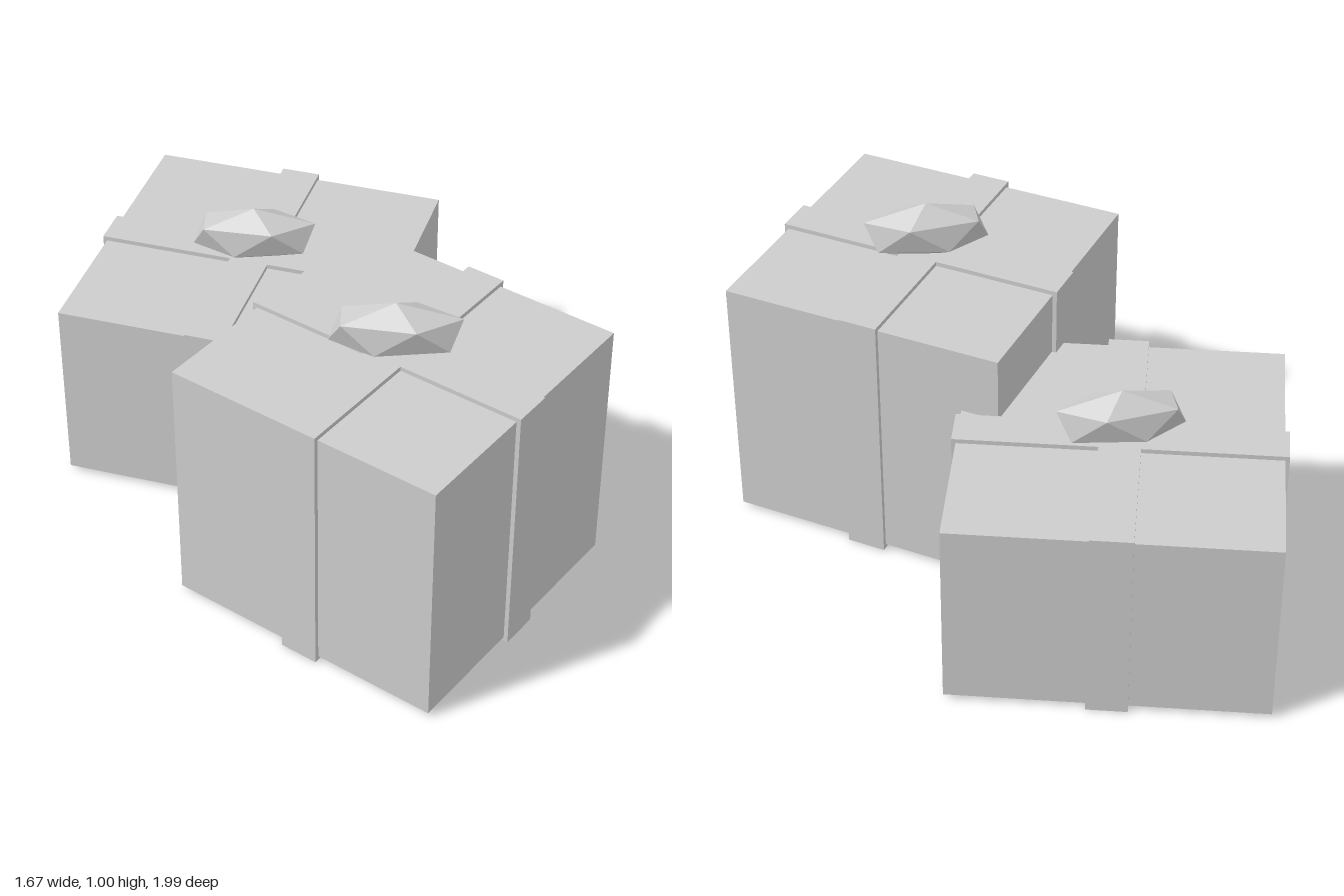
import * as THREE from 'three';

const paper = new THREE.MeshStandardMaterial({ color: 0xcccccc, flatShading: true });
paper.name = 'pale grey';

const LIP = 0.014; // how far the ribbon stands proud of the box

// Cross-shaped ribbon block, wrapping the box on all six sides
function ribbonGeometry(length, width, height) {
  const a = length / 2, b = width / 2;
  const shape = new THREE.Shape([
    [-b, -a], [b, -a], [b, -b], [a, -b], [a, b], [b, b],
    [b, a], [-b, a], [-b, b], [-a, b], [-a, -b], [-b, -b],
  ].map(([x, y]) => new THREE.Vector2(x, y)));
  return new THREE.ExtrudeGeometry(shape, { depth: height, bevelEnabled: false }).rotateX(-Math.PI / 2);
}

// Faceted bow: an icosahedron stood on a corner and stretched sideways
function bowGeometry() {
  const tilt = Math.atan(2 / (1 + Math.sqrt(5)));
  return new THREE.IcosahedronGeometry(1, 0).rotateZ(-tilt).scale(0.216, 0.092, 0.092);
}

function addMesh(parent, name, geometry, y) {
  const mesh = new THREE.Mesh(geometry, paper);
  mesh.name = name;
  mesh.position.y = y;
  parent.add(mesh);
  return mesh;
}

function createGift({ name, x, z, turn, side, height, ribbon }) {
  const gift = new THREE.Group();
  gift.name = name;
  gift.position.set(x, 0, z);

  const wrapped = new THREE.Group();
  wrapped.name = 'wrappedBox';
  wrapped.rotation.y = turn;
  gift.add(wrapped);
  addMesh(wrapped, 'box', new THREE.BoxGeometry(side, height - 2 * LIP, side), height / 2);
  addMesh(wrapped, 'ribbon', ribbonGeometry(ribbon, 0.124, height), 0);

  // The bow keeps facing forwards while the box is turned
  addMesh(gift, 'bow', bowGeometry(), height + 0.068);
  return gift;
}

export function createModel() {
  const model = new THREE.Group();
  model.name = 'giftBoxes';
  model.add(
    createGift({ name: 'tallGift', x: 0.202, z: 0.362, turn: -0.597, side: 0.908, height: 0.84, ribbon: 0.936 }),
    createGift({ name: 'shortGift', x: -0.257, z: -0.418, turn: -0.254, side: 0.957, height: 0.633, ribbon: 0.982 }),
  );
  return model;
}
